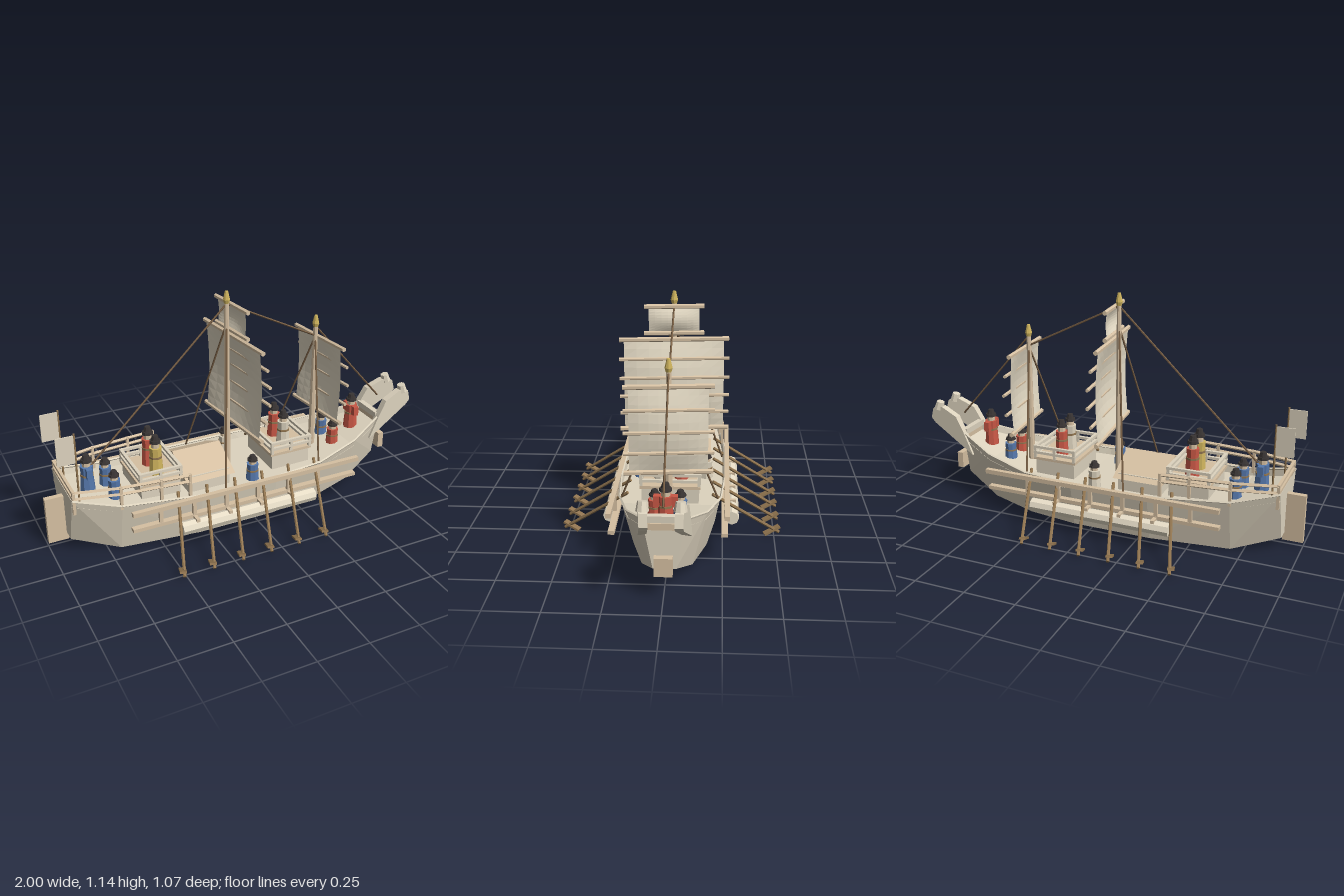
import * as THREE from 'three';

const mat = (name, color, side = THREE.FrontSide) =>
  new THREE.MeshStandardMaterial({ name, color, side, flatShading: true });

// hull stations: x, gunwale half width, gunwale height, bottom half width, bottom height
const STATIONS = [
  [-0.91, 0.165, 0.32, 0.08, 0.065], [-0.69, 0.22, 0.265, 0.165, 0.003],
  [-0.3, 0.257, 0.24, 0.213, 0.003], [0.1, 0.257, 0.24, 0.213, 0.003],
  [0.36, 0.238, 0.245, 0.175, 0.003], [0.6, 0.18, 0.285, 0.115, 0.025],
  [0.8, 0.095, 0.345, 0.05, 0.11],
];

// flat quads, corners counter-clockwise
function quads(list) {
  const pos = [];
  for (const [a, b, c, d] of list) pos.push(...a, ...b, ...c, ...a, ...c, ...d);
  const g = new THREE.BufferGeometry();
  g.setAttribute('position', new THREE.Float32BufferAttribute(pos, 3));
  g.computeVertexNormals();
  return g;
}

export function createModel() {
  const ship = new THREE.Group();
  ship.name = 'ship';
  const M = {
    pale: mat('paleWood', 0xded4bf, THREE.DoubleSide),
    sail: mat('sailCloth', 0xe8dec8, THREE.DoubleSide),
    tan: mat('tanWood', 0xd6c0a2),
    brown: mat('oarWood', 0x917550),
    rope: mat('rope', 0x765d43),
    gold: mat('gold', 0xcfb45e),
    blue: mat('blueCloth', 0x5678ac),
    red: mat('redCloth', 0xca5846),
    black: mat('blackHat', 0x3a3534),
  };
  function add(name, geo, m, p = [0, 0, 0], parent = ship) {
    const mesh = new THREE.Mesh(geo, m);
    mesh.name = name;
    mesh.position.set(...p);
    parent.add(mesh);
    return mesh;
  }
  const box = (name, m, size, p, parent) => add(name, new THREE.BoxGeometry(...size), m, p, parent);
  // round bar between two points
  function bar(name, m, a, b, r, sides = 6, parent = ship) {
    const A = new THREE.Vector3(...a), B = new THREE.Vector3(...b), d = B.clone().sub(A);
    const mesh = add(name, new THREE.CylinderGeometry(r, r, d.length(), sides), m, [0, 0, 0], parent);
    mesh.position.copy(A).add(B).multiplyScalar(0.5);
    mesh.quaternion.setFromUnitVectors(new THREE.Vector3(0, 1, 0), d.normalize());
    return mesh;
  }

  // hull sides, open below, with deck and end boards
  const sides = [], deck = [];
  for (let i = 0; i < STATIONS.length - 1; i++) {
    const [x0, w0, t0, b0, y0] = STATIONS[i], [x1, w1, t1, b1, y1] = STATIONS[i + 1];
    sides.push([[x0, t0, w0], [x0, y0, b0], [x1, y1, b1], [x1, t1, w1]]);
    sides.push([[x0, t0, -w0], [x1, t1, -w1], [x1, y1, -b1], [x0, y0, -b0]]);
    const d = 0.036, k = 0.965;
    deck.push([[x0, t0 - d, -w0 * k], [x0, t0 - d, w0 * k], [x1, t1 - d, w1 * k], [x1, t1 - d, -w1 * k]]);
    for (const s of [1, -1]) bar('gunwale', M.pale, [x0, t0, s * w0], [x1, t1, s * w1], 0.006, 4);
  }
  add('hullSides', quads(sides), M.pale);
  add('deck', quads(deck), M.pale);
  const endBoard = ([x, w, t, b, y], f) =>
    quads([[[x, t, f * w], [x, y, f * b], [x, y, -f * b], [x, t, -f * w]]]);
  add('sternBoard', endBoard(STATIONS[0], -1), M.pale);
  add('bowBoard', endBoard(STATIONS[6], 1), M.pale);
  box('bowBeam', M.pale, [0.03, 0.03, 0.17], [0.8, 0.347, 0]);
  box('bowBeam', M.tan, [0.03, 0.03, 0.17], [0.805, 0.316, 0]);
  box('rudder', M.tan, [0.1, 0.24, 0.028], [-0.95, 0.145, 0]);
  box('bowBlock', M.tan, [0.032, 0.085, 0.08], [0.866, 0.158, 0]);

  // bow horns
  const horn = new THREE.Shape([[0.735, 0.235], [0.79, 0.35], [0.835, 0.43], [0.925, 0.47],
    [0.985, 0.455], [1, 0.4], [0.975, 0.375]].map(p => new THREE.Vector2(...p)));
  for (const s of [1, -1]) {
    const g = new THREE.ExtrudeGeometry(horn, { depth: 0.036, bevelEnabled: false }).translate(0, 0, -0.018);
    // converge slightly towards the tip
    const p = g.attributes.position;
    for (let i = 0; i < p.count; i++) p.setZ(i, p.getZ(i) + s * (0.1 - 0.11 * (p.getX(i) - 0.74)));
    g.computeVertexNormals();
    add('bowHorn', g, M.pale);
    const tip = add('hornTip', new THREE.CylinderGeometry(0.021, 0.028, 0.042, 8), M.pale, [0.95, 0.473, s * 0.077]);
    tip.rotation.z = 0.25;
  }

  // outriggers and oars
  for (const s of [1, -1]) {
    box('upperRail', M.tan, [1.22, 0.022, 0.024], [-0.05, 0.235, s * 0.269]);
    box('lowerRail', M.tan, [1.21, 0.018, 0.03], [-0.055, 0.147, s * 0.258]);
    bar('floatLog', M.sail, [-0.43, 0.109, s * 0.294], [0.29, 0.109, s * 0.294], 0.034, 8);
    for (let i = 0; i < 6; i++) {
      const x = -0.52 + i * 0.17, ox = -0.515 + i * 0.149;
      box('railPost', M.tan, [0.018, 0.08, 0.016], [x, 0.188, s * 0.264]);
      if (i > 0 && i < 5) box('logBracket', M.tan, [0.018, 0.016, 0.07], [x, 0.142, s * 0.28]);
      bar('oar', M.brown, [ox + 0.11, 0.255, s * 0.2], [ox, 0.013, s * 0.525], 0.008);
      const blade = box('oarBlade', M.brown, [0.032, 0.01, 0.085], [ox + 0.005, 0.025, s * 0.49]);
      blade.rotation.set(-s * 0.4, -s * 0.3, 0, 'YXZ');
    }
  }

  // fighting platforms with railings
  for (const [x, w] of [[-0.465, 0.22], [0.242, 0.23]]) {
    const g = new THREE.Group();
    g.name = 'platform';
    g.position.x = x;
    ship.add(g);
    box('platformBase', M.pale, [w - 0.02, 0.09, 0.27], [0, 0.24, 0], g);
    box('platformFloor', M.tan, [w, 0.014, 0.285], [0, 0.29, 0], g);
    for (const y of [0.322, 0.352]) for (const s of [1, -1]) {
      box('platformRail', M.pale, [w, 0.013, 0.016], [0, y, s * 0.137], g);
      box('platformRail', M.pale, [0.016, 0.013, 0.274], [s * (w / 2 - 0.008), y, 0], g);
    }
    for (const s of [1, -1]) for (const k of [-1, 0, 1])
      box('platformPost', M.pale, [0.014, 0.065, 0.014], [k * (w / 2 - 0.008), 0.325, s * 0.137], g);
  }

  // deckhouse with gabled roof
  box('deckhouse', M.pale, [0.22, 0.1, 0.31], [-0.222, 0.24, 0]);
  const gable = new THREE.Shape([[-0.185, 0.272], [0.185, 0.272], [0, 0.362]].map(p => new THREE.Vector2(...p)));
  add('roof', new THREE.ExtrudeGeometry(gable, { depth: 0.255, bevelEnabled: false }).rotateY(Math.PI / 2),
    M.tan, [-0.35, 0, 0]);

  // stern railing and flags
  for (const s of [1, -1]) {
    const path = [[-0.9, 0.16], [-0.69, 0.212], [-0.5, 0.232], [-0.36, 0.245]];
    for (let i = 0; i < path.length; i++) {
      const [x, z] = path[i];
      box('sternPost', M.tan, [0.014, 0.12, 0.014], [x, 0.305, s * z]);
      if (i) for (const y of [0.325, 0.358])
        bar('sternRail', M.tan, [path[i - 1][0], y, s * path[i - 1][1]], [x, y, s * z], 0.009, 4);
    }
    bar('flagPole', M.brown, [-0.865, 0.27, s * 0.13], [-0.865, 0.64, s * 0.13], 0.005);
    box('flag', M.pale, [0.085, 0.14, 0.006], [-0.91, 0.562, s * 0.13]);
  }
  for (const y of [0.325, 0.358]) box('sternCrossRail', M.tan, [0.014, 0.014, 0.32], [-0.9, y, 0]);

  // masts with gilded finials
  for (const [x, y0, y1] of [[-0.05, 0.2, 1.085], [0.444, 0.2, 0.885]]) {
    add('mast', new THREE.CylinderGeometry(0.012, 0.018, y1 - y0, 8), M.tan, [x, (y0 + y1) / 2, 0]);
    const profile = [[0, 0], [0.013, 0], [0.018, 0.018], [0.008, 0.06], [0, 0.062]];
    add('finial', new THREE.LatheGeometry(profile.map(p => new THREE.Vector2(...p)), 8), M.gold, [x, y1 - 0.002, 0]);
  }

  // battened sails, bellied forward
  function sail(x, y0, y1, half, yard, battens, belly) {
    const g = new THREE.Group();
    g.name = 'sail';
    g.position.x = x;
    g.rotation.y = 0.1;
    ship.add(g);
    const geo = new THREE.PlaneGeometry(2 * half, y1 - y0, 8, 10).rotateY(Math.PI / 2).translate(0, (y0 + y1) / 2, 0);
    const p = geo.attributes.position;
    for (let i = 0; i < p.count; i++) {
      const u = p.getZ(i) / half, v = (p.getY(i) - y0) / (y1 - y0);
      p.setX(i, belly * Math.sin(Math.PI * v) * (1 - 0.7 * u * u));
    }
    geo.computeVertexNormals();
    add('sailCloth', geo, M.sail, [0, 0, 0], g);
    for (let i = 0; i < battens; i++) {
      const v = i / (battens - 1), end = i === 0 || i === battens - 1;
      const y = y0 + v * (y1 - y0), bx = belly * Math.sin(Math.PI * v) + 0.004;
      bar('batten', M.tan, [bx, y, -yard], [bx, y, yard], end ? 0.012 : 0.009, 6, g);
    }
  }
  sail(-0.022, 0.455, 0.912, 0.245, 0.268, 6, 0.045);
  sail(-0.027, 0.942, 1.073, 0.123, 0.146, 2, 0.022);
  sail(0.465, 0.418, 0.822, 0.178, 0.203, 5, 0.035);

  // rigging
  const rope = (a, b) => bar('rope', M.rope, a, b, 0.005, 5);
  rope([-0.05, 1.08, 0], [-0.78, 0.37, 0]);
  rope([-0.04, 1.075, 0], [0.444, 0.835, 0]);
  rope([0.444, 0.885, 0], [0.85, 0.42, 0]);
  for (const s of [1, -1]) {
    rope([-0.05, 0.98, 0], [-0.175, 0.24, s * 0.245]);
    rope([0.444, 0.83, 0], [0.355, 0.245, s * 0.225]);
  }

  // crew: robe, belt, head and hat; y is the top of the hat, h the height, r the girth
  function crew(x, y, z, h, r, robe, officer = false) {
    const g = new THREE.Group();
    g.name = 'crewMember';
    g.position.set(x, y - h, z);
    ship.add(g);
    const part = (name, r0, r1, a, b, m) =>
      add(name, new THREE.CylinderGeometry(r1 * r, r0 * r, (b - a) * h, 8), m, [0, (a + b) / 2 * h, 0], g);
    part('robe', 1, 0.85, 0, 0.44, robe);
    part('belt', 0.9, 0.9, 0.42, 0.47, M.brown);
    part('torso', 0.8, 0.87, 0.47, 0.69, robe);
    part('head', 0.56, 0.56, 0.69, 0.83, M.tan);
    part('hatBrim', 0.78, 0.72, 0.81, 0.88, M.black);
    part('hat', 0.56, 0.4, 0.88, 1, M.black);
    if (officer) for (const s of [1, -1])
      box('sleeve', robe, [0.028, 0.05, 0.026], [0, 0.56 * h, s * 0.04], g);
  }
  crew(-0.785, 0.45, 0, 0.19, 0.037, M.blue, true);
  crew(0.685, 0.46, 0, 0.19, 0.037, M.red, true);
  for (const s of [1, -1]) {
    crew(-0.675, 0.372, s * 0.067, 0.155, 0.035, M.blue);
    crew(-0.455, 0.5, s * 0.05, 0.205, 0.037, s > 0 ? M.gold : M.red);
    crew(0.243, 0.48, s * 0.05, 0.19, 0.036, s > 0 ? M.pale : M.red);
    crew(0.537, 0.362, s * 0.058, 0.15, 0.035, s > 0 ? M.red : M.blue);
    crew(0.01, 0.335, s * 0.165, 0.145, 0.035, s > 0 ? M.blue : M.pale);
  }
  return ship;
}
